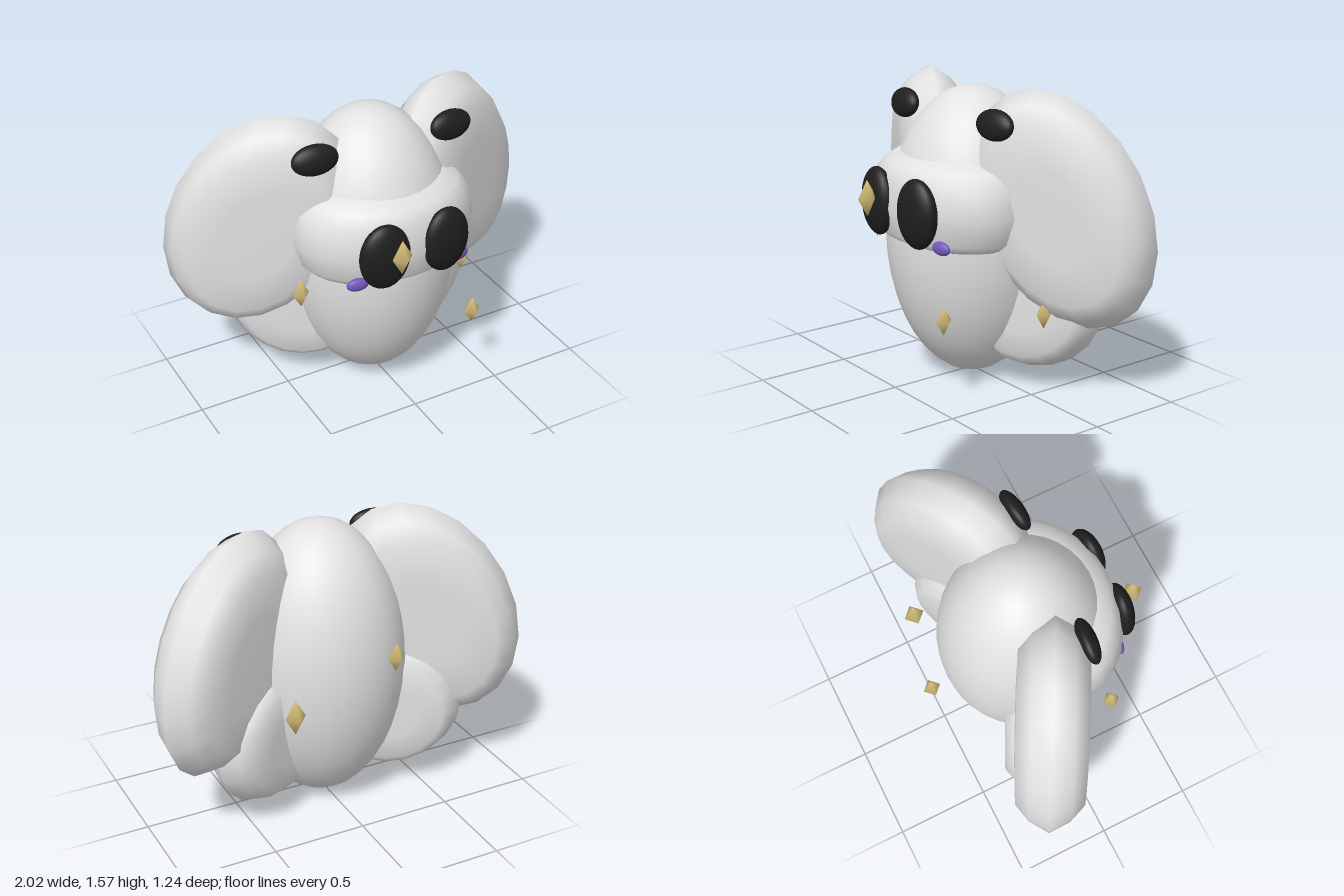
import * as THREE from 'three';

const material = (name, color) => {
  const m = new THREE.MeshStandardMaterial({ color });
  m.name = name;
  return m;
};

export function createModel() {
  const model = new THREE.Group();
  model.name = 'wingedCreature';
  const grey = material('paleGrey', 0xe2e2e2);
  const black = material('black', 0x1e1e1e);
  const gold = material('gold', 0xd6bf78);
  const purple = material('purple', 0x7358bc);

  const add = (parent, name, geometry, mat, position = [0, 0, 0], rotation = [0, 0, 0]) => {
    const mesh = new THREE.Mesh(geometry, mat);
    mesh.name = name;
    mesh.position.set(...position);
    mesh.rotation.set(...rotation);
    parent.add(mesh);
    return mesh;
  };
  const ellipsoid = (rx, ry, rz, w = 28, h = 18) =>
    new THREE.SphereGeometry(1, w, h).scale(rx, ry, rz);
  const lathe = (points, segments) =>
    new THREE.LatheGeometry(points.map(([r, y]) => new THREE.Vector2(r, y)), segments);

  // Egg-shaped body
  add(model, 'body', ellipsoid(0.449, 0.768, 0.451, 32, 20), grey, [0, 0.772, 0]);

  // Face band bulging out of the body, flat underneath
  const face = lathe([[0, 0.765], [0.42, 0.77], [0.46, 0.81], [0.5, 0.95],
    [0.47, 1.1], [0.41, 1.16], [0.3, 1.22], [0, 1.25]], 28).scale(1, 1, 0.76);
  add(model, 'face', face, grey, [0, 0, 0.12]);

  // Thick oval wing: flat faces with bevels meeting at a rim
  const wing = (rx, ry, half) =>
    lathe([[0, -1], [0.4, -1], [0.74, -0.96], [0.89, -0.58], [1, 0],
      [0.89, 0.58], [0.74, 0.96], [0.4, 1], [0, 1]], 20)
      .rotateX(Math.PI / 2).scale(rx, ry, half);

  // Paired parts, mirrored across x
  for (const [sideName, sign] of [['left', 1], ['right', -1]]) {
    const side = new THREE.Group();
    side.name = sideName + 'Side';
    side.scale.x = sign;
    model.add(side);

    // Wings share a swept-back plane
    const wings = new THREE.Group();
    wings.name = sideName + 'Wings';
    wings.rotation.y = 0.495;
    side.add(wings);
    add(wings, 'upperWing', wing(0.453, 0.633, 0.182), grey, [0.558, 0.975, 0.16], [0, 0, 0.49]);
    add(wings, 'lowerWing', wing(0.4, 0.38, 0.155), grey, [0.36, 0.475, 0.074]);

    add(side, 'wingSpot', ellipsoid(0.122, 0.078, 0.048), black, [0.383, 1.405, 0.153], [-0.25, 0.1, 0]);
    add(side, 'eye', ellipsoid(0.134, 0.178, 0.066), black, [0.173, 0.965, 0.47], [0, 0.1, 0]);
    add(side, 'cheek', ellipsoid(0.058, 0.035, 0.024), purple, [0.293, 0.807, 0.412], [0, 0.15, 0]);
  }

  // Ring of seven floating gems, alternating in size and cycling in height
  for (let k = 1; k <= 7; k++) {
    const angle = (k * Math.PI * 2) / 7;
    const [r, h] = k % 2 ? [0.045, 0.075] : [0.055, 0.095];
    const y = [0.732, 0.46, 1.0][k % 3];
    add(model, 'gem', ellipsoid(r, h, r, 4, 2), gold,
      [0.583 * Math.cos(angle), y, 0.583 * Math.sin(angle) - 0.005]);
  }

  return model;
}
